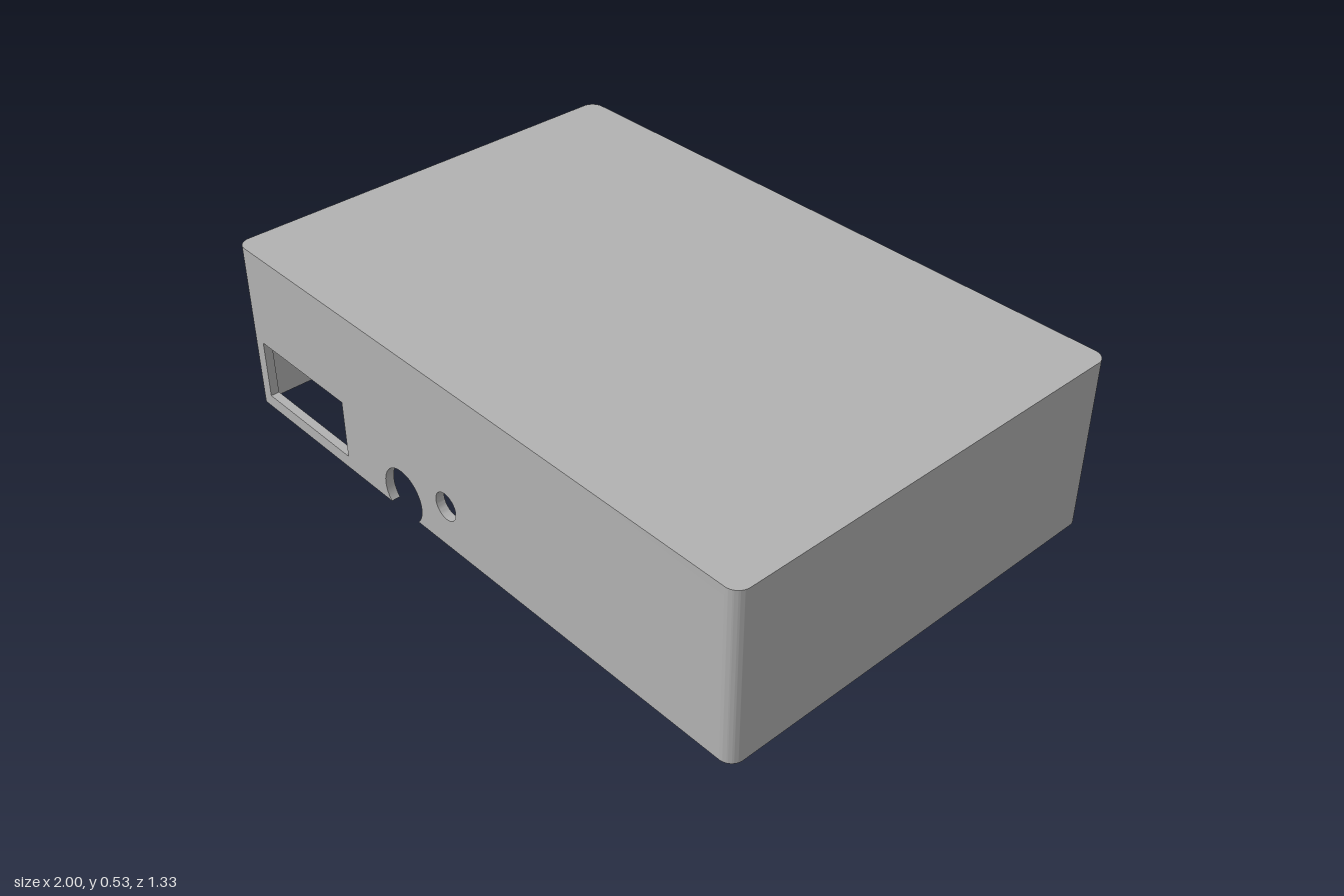
import * as THREE from 'three';
import { toCreasedNormals } from 'three/addons/utils/BufferGeometryUtils.js';

const W = 1, D = 0.667, H = 0.533; // half width, half depth, height
const T = 0.027, R = 0.04;         // wall thickness, corner radius
const CX = W - R, CZ = D - R;      // corner centres

export function createModel() {
  const group = new THREE.Group();
  group.name = 'enclosure';
  const grey = new THREE.MeshStandardMaterial({ color: 0xb2b2b2 });
  grey.name = 'grey plastic';

  const add = (name, shape, depth) => {
    const g = new THREE.ExtrudeGeometry(shape, { depth, bevelEnabled: false, curveSegments: 24 });
    const mesh = new THREE.Mesh(toCreasedNormals(g, 0.5), grey);
    mesh.name = name;
    group.add(mesh);
    return mesh;
  };

  // Roof: rounded rectangle lying flat
  const roof = new THREE.Shape();
  roof.absarc(CX, CZ, R, 0, Math.PI / 2);
  roof.absarc(-CX, CZ, R, Math.PI / 2, Math.PI);
  roof.absarc(-CX, -CZ, R, Math.PI, Math.PI * 1.5);
  roof.absarc(CX, -CZ, R, Math.PI * 1.5, Math.PI * 2);
  const roofMesh = add('roof', roof, T);
  roofMesh.rotation.x = -Math.PI / 2;
  roofMesh.position.y = H - T;

  // Side walls with rounded corners, as plan sections
  for (const [name, turn] of [['leftWall', 0], ['rightWall', Math.PI]]) {
    const side = new THREE.Shape();
    side.absarc(CX, -CZ, R, -Math.PI / 2, 0, false);
    side.absarc(CX, CZ, R, 0, Math.PI / 2, false);
    side.absarc(CX, CZ, R - T, Math.PI / 2, 0, true);
    side.absarc(CX, -CZ, R - T, 0, -Math.PI / 2, true);
    add(name, side, H - T).rotation.set(-Math.PI / 2, 0, turn);
  }

  // Front wall: round notch in the lower edge, port window and small round hole
  const nx = -0.267, ny = 0.055, nr = 0.083;
  const a = Math.asin(ny / nr);
  const front = new THREE.Shape();
  front.moveTo(CX, 0);
  front.lineTo(CX, H - T);
  front.lineTo(-CX, H - T);
  front.lineTo(-CX, 0);
  front.absarc(nx, ny, nr, Math.PI + a, -a, true);
  front.closePath();
  const port = new THREE.Path();
  port.moveTo(-0.933, 0.04);
  port.lineTo(-0.933, 0.227);
  port.lineTo(-0.533, 0.227);
  port.lineTo(-0.533, 0.04);
  port.closePath();
  const hole = new THREE.Path();
  hole.absarc(-0.069, 0.135, 0.043, 0, Math.PI * 2, true);
  front.holes.push(port, hole);
  add('frontWall', front, T).position.z = D - T;

  // Back wall: tall opening from the lower edge
  const back = new THREE.Shape();
  [[-CX, 0], [0.267, 0], [0.267, 0.467], [0.933, 0.467], [0.933, 0], [CX, 0], [CX, H - T], [-CX, H - T]]
    .forEach(([x, y], i) => (i ? back.lineTo(x, y) : back.moveTo(x, y)));
  back.closePath();
  add('backWall', back, T).position.z = -D;

  return group;
}
